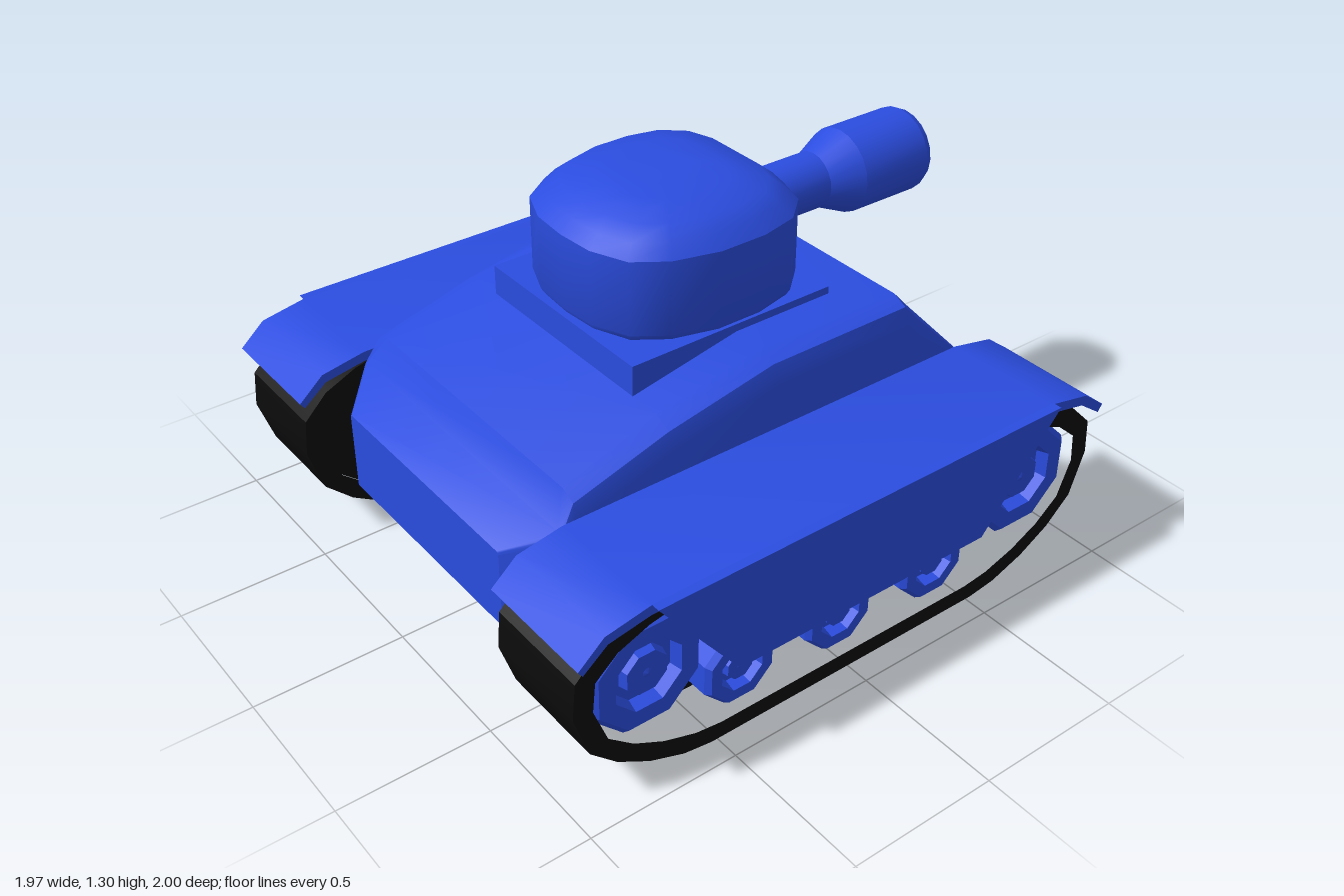
import * as THREE from 'three';
import { toCreasedNormals } from 'three/addons/utils/BufferGeometryUtils.js';

const blue = new THREE.MeshStandardMaterial({ color: 0x2b4de0 });
const blueFlat = new THREE.MeshStandardMaterial({ color: 0x2b4de0, flatShading: true });
const black = new THREE.MeshStandardMaterial({ color: 0x0c0c0c });

// Skins a stack of equal-length rings of [x, y, z] points and caps both ends.
function loft(rings, crease) {
  const n = rings[0].length, last = (rings.length - 1) * n;
  const points = rings.flat();
  const index = [];
  for (let i = 0; i < rings.length - 1; i++) {
    for (let j = 0; j < n; j++) {
      const a = i * n + j, b = i * n + (j + 1) % n;
      index.push(a, a + n, b, b, a + n, b + n);
    }
  }
  for (let j = 1; j < n - 1; j++) {
    index.push(0, j, j + 1, last, last + j + 1, last + j);
  }
  const g = new THREE.BufferGeometry();
  g.setAttribute('position', new THREE.Float32BufferAttribute(points.flat(), 3));
  g.setIndex(index);
  return toCreasedNormals(g, crease);
}

// Extrudes a side outline of [z, y] points across x, from x0 to x1.
function sidePlate(outline, x0, x1, hole) {
  const toPoints = (list) => list.map(([z, y]) => new THREE.Vector2(-z, y));
  const shape = new THREE.Shape(toPoints(outline));
  if (hole) shape.holes.push(new THREE.Path(toPoints(hole)));
  const g = new THREE.ExtrudeGeometry(shape, { depth: x1 - x0, bevelEnabled: false });
  g.rotateY(Math.PI / 2).translate(x0, 0, 0);
  return toCreasedNormals(g, 0.6);
}

function add(group, name, geometry, material) {
  const mesh = new THREE.Mesh(geometry, material);
  mesh.name = name;
  group.add(mesh);
  return mesh;
}

// Hull cross-section with bevelled upper corners.
function hullSection([z, bottom, top, w, bevel]) {
  const b = bevel * 0.85;
  return [
    [-w + b, top, z], [w - b, top, z], [w - b * 0.25, top - bevel * 0.3, z], [w, top - bevel, z],
    [w, bottom, z], [-w, bottom, z], [-w, top - bevel, z], [-w + b * 0.25, top - bevel * 0.3, z],
  ];
}

function createHull() {
  // z, bottom, top, half width, bevel
  return loft([
    [-0.92, 0.36, 0.46, 0.55, 0.01],
    [-0.88, 0.28, 0.51, 0.55, 0.01],
    [-0.75, 0.17, 0.655, 0.55, 0.03],
    [-0.58, 0.17, 0.84, 0.55, 0.08],
    [-0.52, 0.17, 0.905, 0.55, 0.08],
    [0.0, 0.17, 0.905, 0.55, 0.09],
    [0.38, 0.17, 0.83, 0.55, 0.09],
    [0.71, 0.17, 0.73, 0.55, 0.08],
    [0.76, 0.17, 0.63, 0.55, 0.02],
    [0.89, 0.28, 0.55, 0.42, 0.01],
  ].map(hullSection), 0.6);
}

function createTurret() {
  // Half plan outline in [x, z], mirrored to the other side
  const half = [[0.14, -0.355], [0.25, -0.32], [0.33, -0.23], [0.36, -0.1], [0.36, 0.06],
    [0.32, 0.21], [0.25, 0.31], [0.13, 0.36]];
  const plan = [...half, [0, 0.37], ...half.map(([x, z]) => [-x, z]).reverse()];
  // height, scale
  const levels = [[0.92, 0.95], [0.95, 1], [1.195, 1], [1.235, 0.9], [1.27, 0.78], [1.295, 0.5], [1.303, 0.3]];
  return loft(levels.map(([y, s]) => plan.map(([x, z]) => [x * s, y, z * s])), 0.65);
}

function createBarrel() {
  const profile = [[0.093, 0.2], [0.093, 0.6], [0.142, 0.71], [0.142, 0.975], [0.13, 1],
    [0.08, 1], [0.075, 0.85], [0, 0.85]].map(([r, y]) => new THREE.Vector2(r, y));
  const g = new THREE.LatheGeometry(profile, 20);
  g.rotateX(-Math.PI / 2).translate(0, 1.073, 0);
  return toCreasedNormals(g, 0.4);
}

// Eight-sided wheel with a raised rim, a recessed dish and a hub; faces +y.
function wheelGeometry(r) {
  const k = 1 / Math.cos(Math.PI / 8);
  const profile = [[0, 0], [1, 0], [1, 0.15], [0.9, 0.17], [0.6, 0.17], [0.54, 0.13], [0.4, 0.13],
    [0.36, 0.16], [0.08, 0.16], [0, 0.165]];
  return new THREE.LatheGeometry(profile.map(([s, y]) => new THREE.Vector2(s * r * k, y)), 8, Math.PI / 8);
}

function createModel() {
  const model = new THREE.Group();
  model.name = 'tank';

  // Body and turret
  add(model, 'hull', createHull(), blue);
  const ring = add(model, 'turretBase', new THREE.BoxGeometry(0.72, 0.2, 0.74), blue);
  ring.position.set(0, 0.83, 0.01);
  add(model, 'turret', createTurret(), blue);
  add(model, 'gunBarrel', createBarrel(), blue);

  // Side outlines in [z, y]
  const trackHalf = [[0.52, 0], [0.62, 0.015], [0.74, 0.06], [0.85, 0.125], [0.94, 0.21],
    [0.99, 0.36], [0.98, 0.48], [0.9, 0.56], [0.79, 0.61], [0.7, 0.63]];
  const track = [...trackHalf, ...trackHalf.map(([z, y]) => [-z, y]).reverse()];
  const inner = track.map(([z, y]) => [z * 0.935, 0.32 + (y - 0.32) * 0.82]);
  const fender = [[0.995, 0.56], [0.91, 0.635], [0.76, 0.663], [-0.74, 0.663], [-0.9, 0.63], [-0.985, 0.565],
    [-0.97, 0.54], [-0.885, 0.6], [-0.74, 0.63], [0.76, 0.63], [0.9, 0.605], [0.98, 0.54]];
  const skirt = [[0.76, 0.663], [0.48, 0.31], [-0.46, 0.31], [-0.75, 0.663]];
  // z, y, radius
  const wheels = [[0.72, 0.35, 0.185], [-0.735, 0.35, 0.185],
    [0.39, 0.192, 0.123], [0.015, 0.192, 0.123], [-0.368, 0.192, 0.123]];

  // Running gear on both sides
  for (const side of [1, -1]) {
    const gear = new THREE.Group();
    gear.name = side > 0 ? 'leftRunningGear' : 'rightRunningGear';
    const plate = (name, outline, a, b, material, hole) =>
      add(gear, name, sidePlate(outline, side > 0 ? a : -b, side > 0 ? b : -a, hole), material);
    plate('trackBand', track, 0.56, 0.918, black, inner);
    plate('trackInnerWall', inner, 0.565, 0.75, black);
    plate('fender', fender, 0.55, 0.957, blue);
    plate('skirt', skirt, 0.955, 0.985, blue);
    for (const [z, y, r] of wheels) {
      const wheel = add(gear, r > 0.15 ? 'driveWheel' : 'roadWheel', wheelGeometry(r), blueFlat);
      wheel.rotation.z = -side * Math.PI / 2;
      wheel.position.set(side * 0.72, y, z);
    }
    model.add(gear);
  }
  return model;
}

export { createModel };
